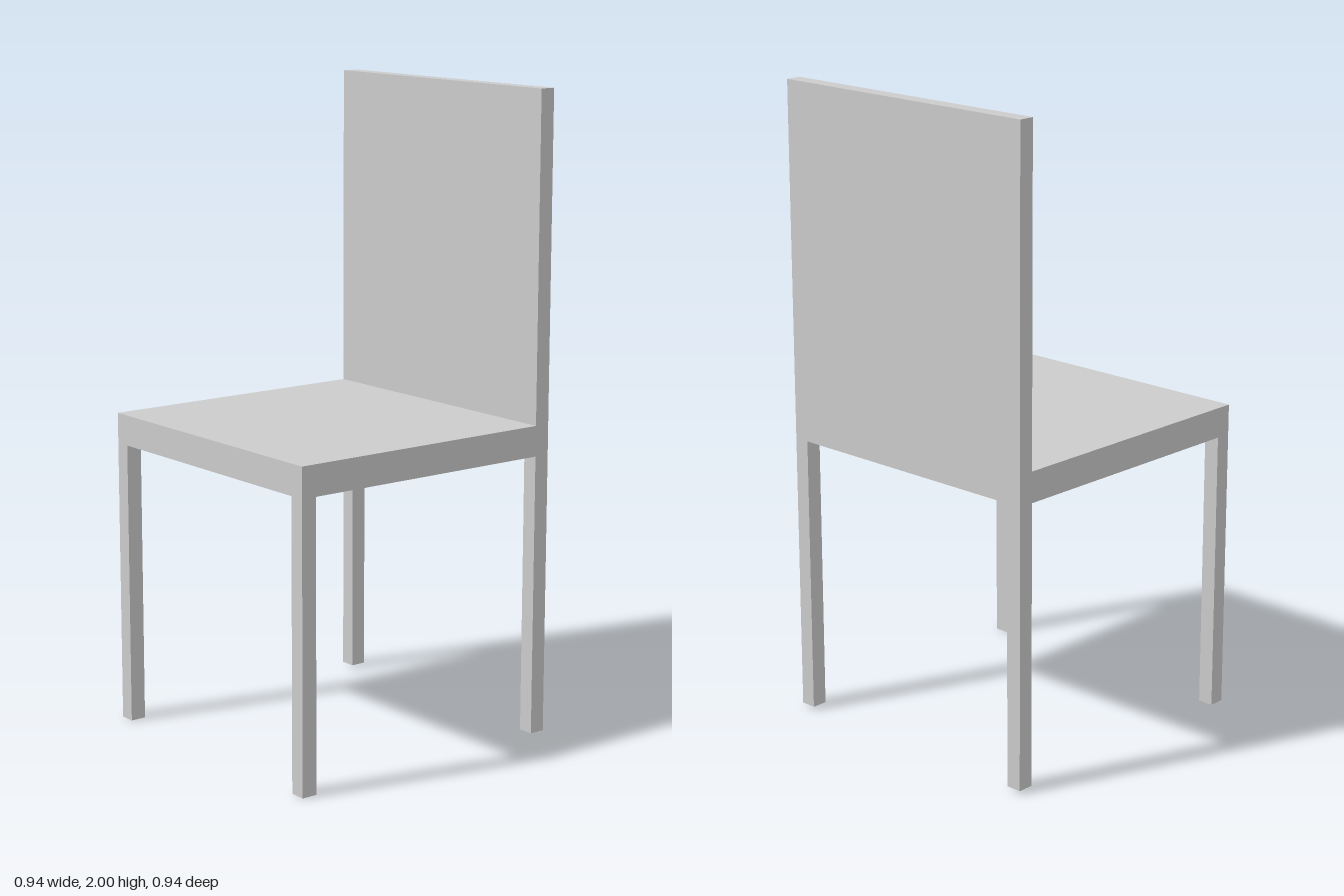
import * as THREE from 'three';

const HALF = 0.47;        // half of the width and depth
const THICK = 0.05;       // leg and backrest thickness
const SEAT_BOTTOM = 0.89;
const SEAT_TOP = 0.985;
const HEIGHT = 2;

export function createModel() {
  const chair = new THREE.Group();
  chair.name = 'chair';
  const material = new THREE.MeshStandardMaterial({ color: 0xcccccc, flatShading: true });

  // Box given by its lower and upper corners
  function addBox(name, [x0, y0, z0], [x1, y1, z1]) {
    const mesh = new THREE.Mesh(new THREE.BoxGeometry(x1 - x0, y1 - y0, z1 - z0), material);
    mesh.position.set((x0 + x1) / 2, (y0 + y1) / 2, (z0 + z1) / 2);
    mesh.name = name;
    chair.add(mesh);
  }

  const inner = HALF - THICK;

  // Seat slab, butting against the backrest
  addBox('seat', [-HALF, SEAT_BOTTOM, -inner], [HALF, SEAT_TOP, HALF]);

  // Backrest panel, rising from the underside of the seat
  addBox('backrest', [-HALF, SEAT_BOTTOM, -HALF], [HALF, HEIGHT, -inner]);

  // Square corner legs; the rear pair is a touch shorter
  for (const [side, x] of [['Left', inner], ['Right', -HALF]]) {
    addBox('front' + side + 'Leg', [x, 0, inner], [x + THICK, SEAT_BOTTOM, HALF]);
    addBox('back' + side + 'Leg', [x, 0.01, -HALF], [x + THICK, SEAT_BOTTOM, -inner]);
  }

  return chair;
}
